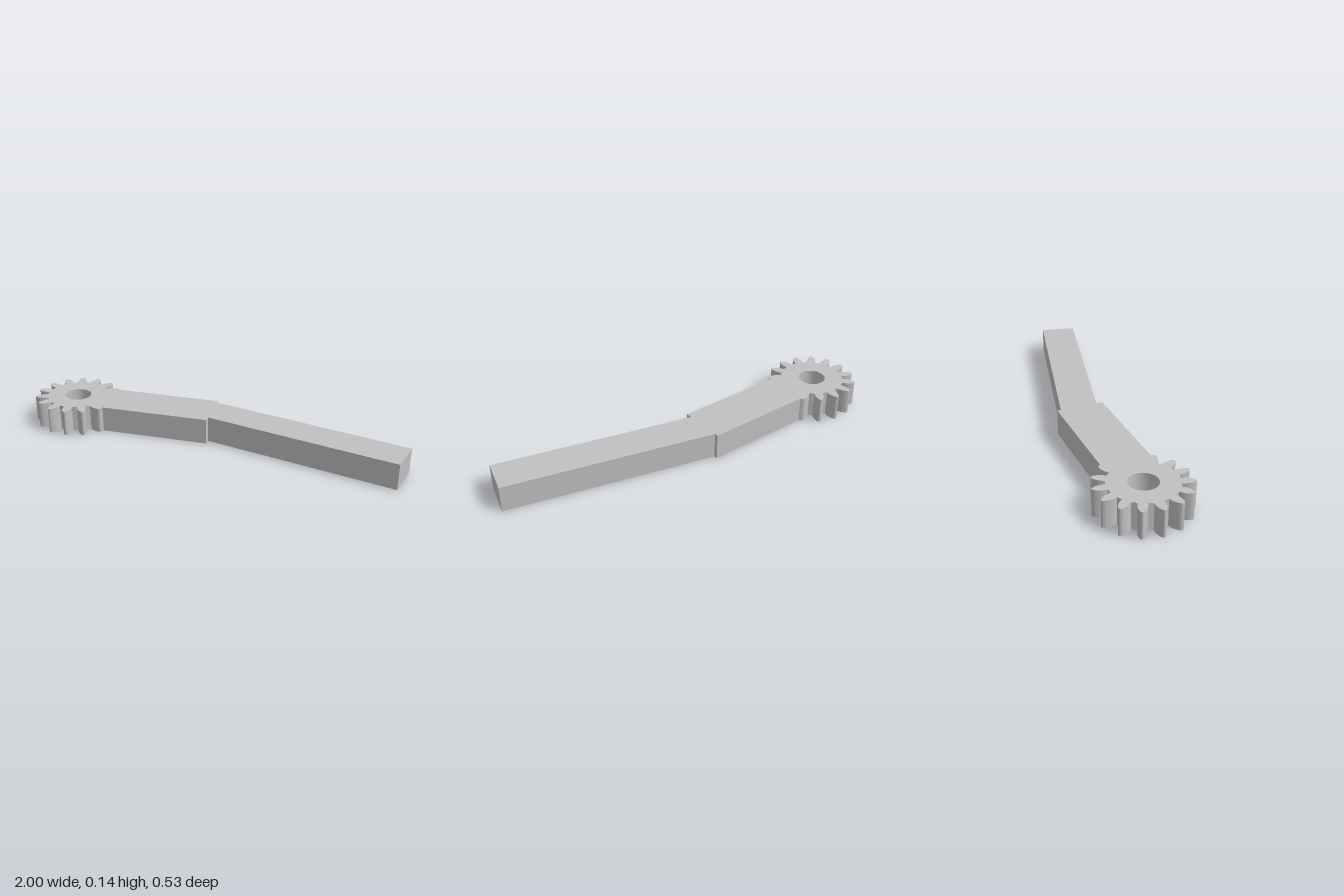
import * as THREE from 'three';
import { toCreasedNormals } from 'three/addons/utils/BufferGeometryUtils.js';

const HEIGHT = 0.135;
const TEETH = 15;
const GEAR = new THREE.Vector2(-0.776, -0.034); // gear centre, shape y = -z

// One flank of a rounded tooth: radius and half width, root to tip
const FLANK = new THREE.SplineCurve([
  [0.164, 0.021], [0.18, 0.0225], [0.2, 0.02], [0.218, 0.013], [0.228, 0.005], [0.23, 0],
].map(([r, w]) => new THREE.Vector2(r, w))).getPoints(12);

function toothPoints(angle, from = -1, to = 1) {
  const rising = FLANK.map(p => new THREE.Vector2(p.x, -p.y));
  const falling = FLANK.slice(0, -1).reverse();
  const points = [...(from < 0 ? rising : rising.slice(-1)), ...(to > 0 ? falling : [])];
  return points.map(p => p.clone().rotateAround(new THREE.Vector2(), angle).add(GEAR));
}

export function createModel() {
  const group = new THREE.Group();
  group.name = 'gearLever';
  const grey = new THREE.MeshStandardMaterial({ color: 0xc0c0c0 });
  grey.name = 'grey';

  // Gear teeth, omitting those buried in the arm
  const outline = [];
  const step = (Math.PI * 2) / TEETH;
  for (let i = 2; i <= 14; i++) {
    // The first and last teeth are half sunk into the arm
    outline.push(...toothPoints(i * step, i === 2 ? 1 : -1, i === 14 ? -1 : 1));
  }

  // Slanted arm, stepped elbow and straight handle
  const arm = [
    [-0.562, -0.107], [-0.012, 0.031], [-0.018, 0.063], [1, 0.063],
    [1, 0.247], [-0.0655, 0.247], [-0.07, 0.265], [-0.612, 0.13],
  ];
  outline.push(...arm.map(([x, y]) => new THREE.Vector2(x, y)));

  // Axle hole through the gear
  const shape = new THREE.Shape(outline);
  shape.holes.push(new THREE.Path().absarc(GEAR.x, GEAR.y, 0.07, 0, Math.PI * 2, true));

  const solid = new THREE.ExtrudeGeometry(shape, {
    depth: HEIGHT, bevelEnabled: false, curveSegments: 48,
  });
  solid.rotateX(-Math.PI / 2);
  const lever = new THREE.Mesh(toCreasedNormals(solid, 0.6), grey);
  lever.name = 'leverWithGear';
  group.add(lever);
  return group;
}
